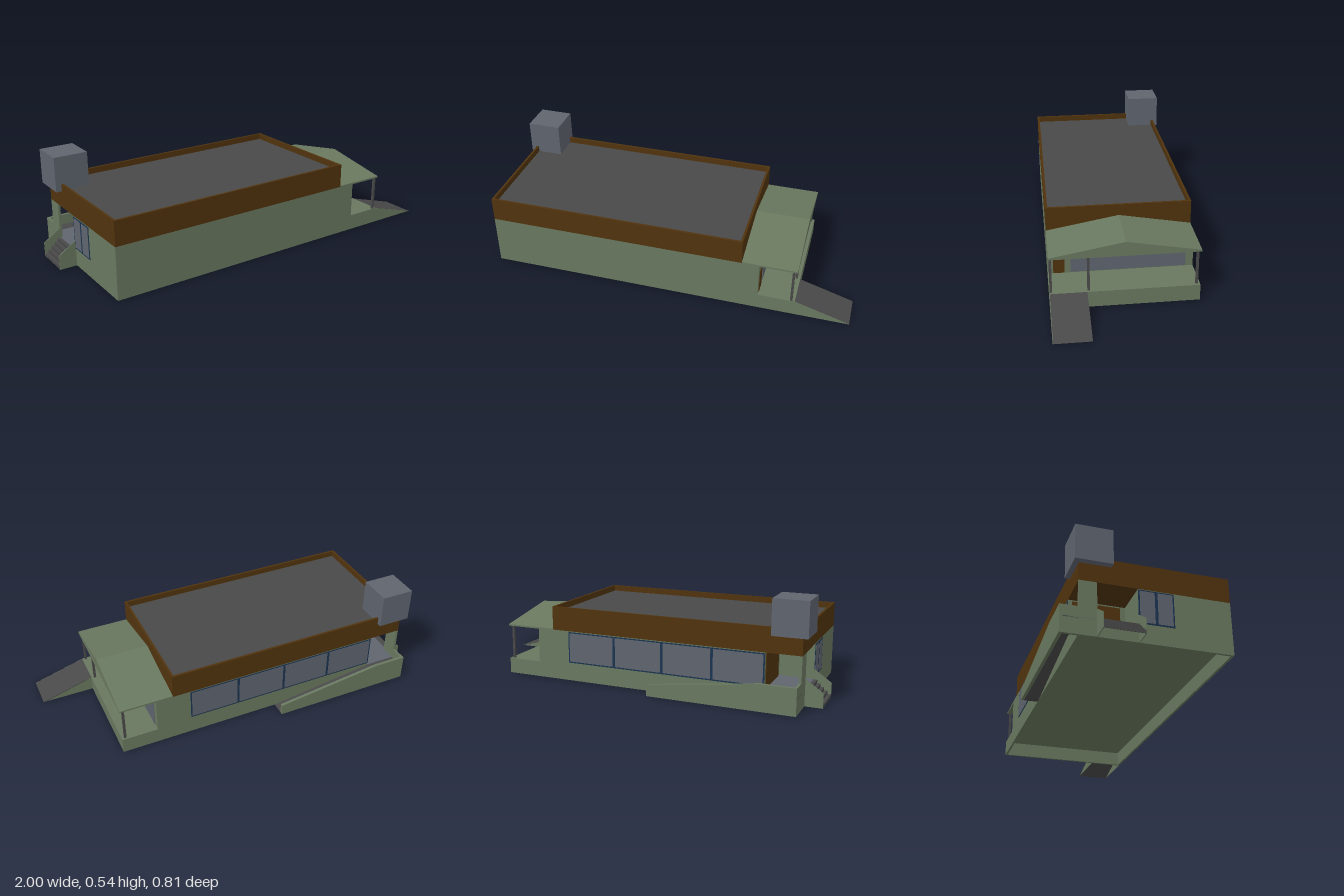
import * as THREE from 'three';

const paint = (color) => new THREE.MeshStandardMaterial({ color, flatShading: true, side: THREE.DoubleSide });
const GREEN = paint(0x69785f), BROWN = paint(0x50330d), GLASS = paint(0x5f646e);
const DARK = paint(0x494949), BLUE = paint(0x1a3350);

// Main levels and plan lines
const FLOOR = 0.083, EAVE = 0.27, TOP = 0.397;
const LEFT = -0.91, INNER = -0.73, FRONT = 0.53, PORCH = 0.72;
const ZB = -0.32, ZF = 0.405, T = 0.012;

export function createModel() {
  const model = new THREE.Group();
  model.name = 'house';

  const add = (name, geo, mat, parent = model) => {
    const mesh = new THREE.Mesh(geo, mat);
    mesh.name = name;
    parent.add(mesh);
    return mesh;
  };
  // Box given by its limits on each axis
  const box = (name, mat, x0, x1, y0, y1, z0, z1, parent) => {
    const geo = new THREE.BoxGeometry(x1 - x0, y1 - y0, z1 - z0);
    geo.translate((x0 + x1) / 2, (y0 + y1) / 2, (z0 + z1) / 2);
    return add(name, geo, mat, parent);
  };
  // Side profile (x, y) pushed from z0 to z1
  const slab = (name, mat, pts, z0, z1, parent) => {
    const shape = new THREE.Shape(pts.map(([x, y]) => new THREE.Vector2(x, y)));
    const geo = new THREE.ExtrudeGeometry(shape, { depth: z1 - z0, bevelEnabled: false });
    geo.translate(0, 0, z0);
    return add(name, geo, mat, parent);
  };

  // Floor over an open underside, with a skirt round it
  box('floor', GREEN, LEFT + T, PORCH - T, FLOOR - 0.006, FLOOR, ZB + T, ZF - T);
  box('frontSkirt', GREEN, LEFT, PORCH, 0, FLOOR, ZF - T, ZF);
  box('backSkirt', GREEN, LEFT, PORCH, 0, FLOOR, ZB, ZB + T);
  box('leftSkirt', GREEN, LEFT, LEFT + T, 0, FLOOR, ZB + T, ZF - T);
  box('porchSkirt', GREEN, PORCH - T, PORCH, 0, FLOOR, ZB + T, ZF - T);
  box('entryFloor', GLASS, LEFT, INNER, FLOOR, FLOOR + 0.002, ZB, -0.045);

  // Walls
  box('frontWall', GREEN, LEFT, FRONT, FLOOR, EAVE, ZF - T, ZF);
  box('backWall', GREEN, INNER, FRONT, FLOOR, EAVE, ZB, ZB + T);
  box('porchWall', GREEN, FRONT - T, FRONT, FLOOR, EAVE, ZB + T, ZF - T);
  box('leftWall', GREEN, LEFT, LEFT + T, FLOOR, EAVE, -0.045, ZF - T);
  box('entryPier', GREEN, LEFT, LEFT + T, FLOOR, EAVE, ZB, -0.235);
  box('entryBackWall', GREEN, INNER, INNER + T, FLOOR, EAVE, ZB + T, -0.045);
  box('entrySideWall', GREEN, LEFT + T, INNER + T, FLOOR, EAVE, -0.045, -0.045 + T);
  box('entryDoor', BROWN, INNER - 0.003, INNER, FLOOR, 0.262, -0.3, -0.07);

  // Windows: a frame panel with panes standing just proud of it
  const backWindows = new THREE.Group();
  backWindows.name = 'backWindows';
  model.add(backWindows);
  box('frame', BLUE, -0.73, 0.345, 0.098, 0.266, ZB - 0.002, ZB, backWindows);
  for (let i = 0; i < 4; i++) {
    const x = -0.73 + i * 0.26875;
    box('pane', GLASS, x + 0.007, x + 0.262, 0.105, 0.26, ZB - 0.003, ZB, backWindows);
  }
  const leftWindows = new THREE.Group();
  leftWindows.name = 'leftWindows';
  model.add(leftWindows);
  box('frame', BLUE, LEFT - 0.002, LEFT, 0.095, 0.266, -0.045, 0.125, leftWindows);
  for (const z of [-0.045, 0.04]) {
    box('pane', GLASS, LEFT - 0.003, LEFT, 0.102, 0.26, z + 0.007, z + 0.078, leftWindows);
  }
  box('porchWindow', GLASS, FRONT, FRONT + 0.003, 0.087, 0.265, -0.282, 0.292);
  box('porchDoor', BROWN, FRONT, FRONT + 0.003, 0.085, 0.212, 0.322, 0.378);

  // Parapet ring, flat roof and ceiling
  box('roof', DARK, LEFT + T, 0.44 - T, 0.357, 0.365, ZB + T, ZF - T);
  box('ceiling', BROWN, LEFT + T, 0.44 - T, EAVE, EAVE + 0.004, ZB + T, ZF - T);
  box('parapetFront', BROWN, LEFT, 0.44, EAVE, TOP, ZF - T, ZF);
  box('parapetBack', BROWN, LEFT, 0.44, EAVE, TOP, ZB, ZB + T);
  box('parapetLeft', BROWN, LEFT, LEFT + T, EAVE, TOP, ZB + T, ZF - T);
  box('parapetRight', BROWN, 0.44 - T, 0.44, EAVE, TOP, ZB + T, ZF - T);
  box('roofUnit', GLASS, -0.94, -0.762, 0.36, 0.54, -0.345, -0.166);

  // Low gable over the porch, drawn across z and turned to run along x
  const gable = slab('porchRoof', GREEN,
    [[-ZF, 0.266], [-ZB, 0.266], [-ZB, 0.275], [-0.043, 0.34], [-ZF, 0.275]], 0, PORCH - 0.44);
  gable.geometry.rotateY(Math.PI / 2);
  gable.position.x = 0.44;

  // Porch posts
  for (const z of [0.397, 0.218, -0.304]) {
    box('porchPost', DARK, 0.695, 0.707, FLOOR, 0.266, z - 0.006, z + 0.006);
  }

  // Ramp down from the porch
  slab('porchRamp', DARK, [[PORCH, FLOOR - 0.005], [0.985, 0], [1, 0], [PORCH, FLOOR]], 0.225, ZF - 0.002);
  for (const z of [0.225, ZF - 0.002]) {
    slab('porchRampSide', GREEN, [[PORCH, 0], [0.999, 0], [PORCH, FLOOR - 0.001]], z, z + 0.002);
  }

  // Back ramp with its landing and outer wall
  slab('backRamp', DARK, [[-0.145, 0], [INNER, FLOOR], [LEFT, FLOOR], [LEFT, FLOOR - 0.005],
    [INNER, FLOOR - 0.005], [-0.18, 0]], -0.39, ZB);
  slab('backRampWall', GREEN, [[LEFT, 0], [-0.145, 0], [-0.145, 0.06], [INNER, 0.137], [LEFT, 0.137]], -0.405, -0.389);
  box('backRampEnd', GREEN, LEFT, LEFT + T, 0, 0.137, -0.389, ZB);

  // Entry steps between two sloping side walls
  const steps = 5, run = 0.09 / steps, rise = FLOOR / steps;
  for (let i = 0; i < steps; i++) {
    const x = -1 + i * run, y = (i + 1) * rise;
    box('tread', DARK, x, x + run, y - 0.003, y, -0.233, -0.047);
    box('riser', DARK, x, x + 0.002, y - rise, y, -0.233, -0.047);
  }
  for (const z of [-0.237, -0.047]) {
    slab('stepsSide', GREEN, [[-1, 0], [LEFT, 0], [LEFT, 0.137], [-1, 0.075]], z, z + 0.004);
  }
  return model;
}
